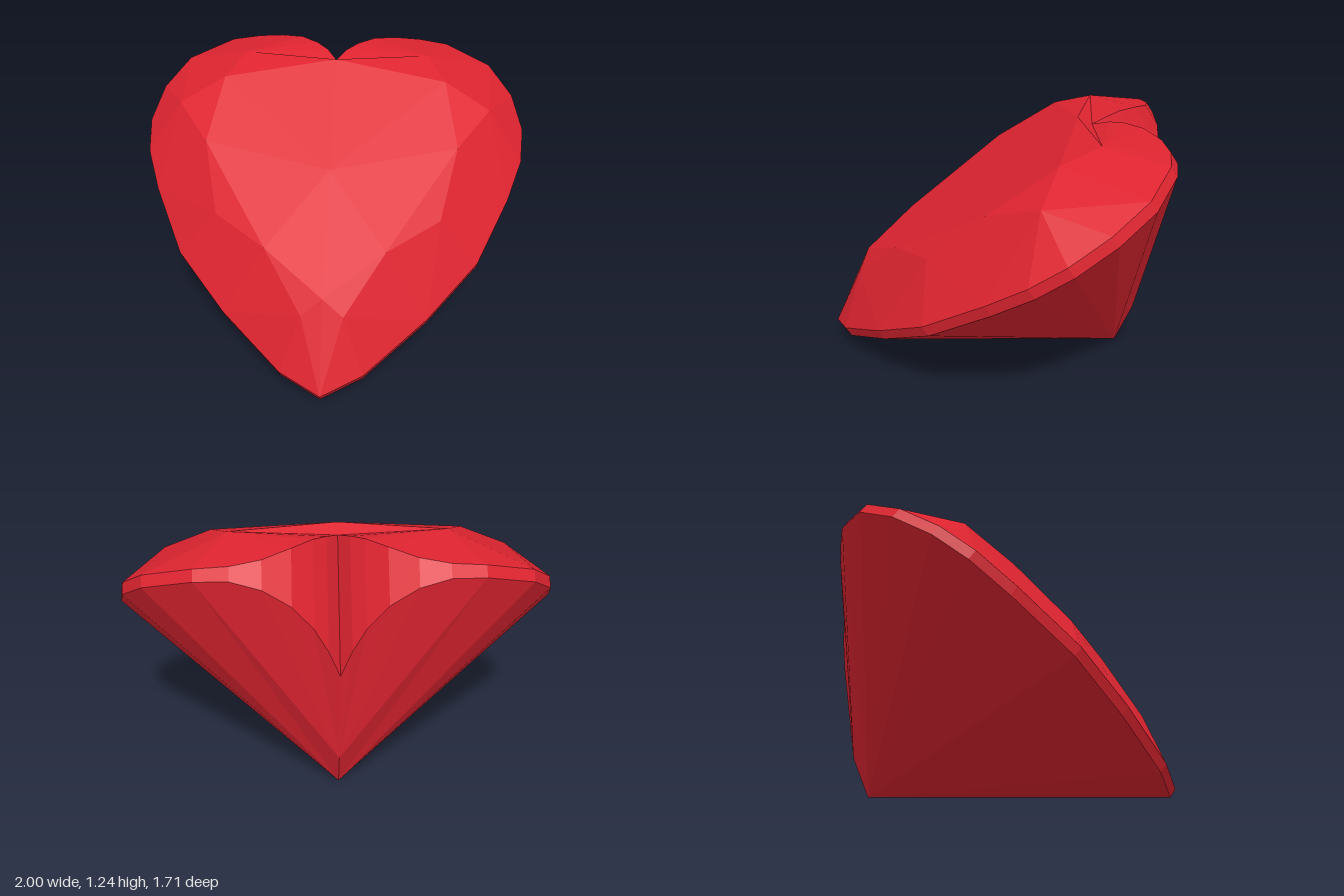
import * as THREE from 'three';

// Gem frame: x sideways, y through the cut, z towards the tip of the heart.
const at = (x, z, y) => [x, y, z];

// Half of the heart outline from tip to notch: x, z, upper edge, lower edge
const outline = [
  [0, 0.664, 0.544, 0.49], [0.2, 0.555, 0.544, 0.49], [0.5, 0.27, 0.544, 0.49],
  [0.75, -0.03, 0.544, 0.49], [0.91, -0.38, 0.544, 0.49], [0.985, -0.6, 0.544, 0.49],
  [1, -0.79, 0.544, 0.49], [0.95, -1.0, 0.544, 0.49], [0.83, -1.19, 0.544, 0.49],
  [0.6, -1.32, 0.544, 0.49], [0.45, -1.345, 0.548, 0.485], [0.32, -1.335, 0.575, 0.45],
  [0.2, -1.29, 0.63, 0.385], [0.11, -1.22, 0.68, 0.3], [0.05, -1.16, 0.705, 0.21],
  [0, -1.08, 0.727, 0.11],
];
const upper = outline.map(([x, z, top]) => at(x, z, top));
const lower = outline.map(([x, z, , bottom]) => at(x, z, bottom));

// Table corners, the star points between them, and the outline index below each corner
const table = [[0, 0.259], [0.29, 0.02], [0.63, -0.54], [0.57, -0.92], [0, -1.04]]
  .map(([x, z]) => at(x, z, 0.795));
const star = [[0.1, 0.33], [0.55, -0.17], [0.8, -0.79], [0.48, -1.11]]
  .map(([x, z]) => at(x, z, 0.742));
const foot = [0, 2, 4, 8, 15];

// Lowest point and the point where the notch crease meets the lobes
const culet = at(0, -0.553, -0.37);
const crease = at(0, -0.734, -0.253);
const lobeStart = 9;

// Mirrors the triangles of one half and makes a flat-shaded mesh
function facetMesh(name, triangles, material) {
  const positions = [];
  for (const [a, b, c] of triangles) {
    positions.push(...a, ...b, ...c);
    for (const [x, y, z] of [a, c, b]) positions.push(-x, y, z);
  }
  const geometry = new THREE.BufferGeometry();
  geometry.setAttribute('position', new THREE.Float32BufferAttribute(positions, 3));
  geometry.computeVertexNormals();
  const mesh = new THREE.Mesh(geometry, material);
  mesh.name = name;
  return mesh;
}

export function createModel() {
  const red = new THREE.MeshStandardMaterial({ color: 0xde2430 });
  red.name = 'ruby red';

  const tableFaces = [], crown = [], girdle = [], pavilion = [];

  // Flat table and the crown facets around it
  const centre = at(0, -0.4, 0.795);
  for (let i = 0; i < star.length; i++) {
    const t = table[i], s = star[i], next = table[i + 1];
    tableFaces.push([centre, t, next]);
    crown.push([t, s, next], [t, upper[foot[i]], s], [s, upper[foot[i + 1]], next]);
    for (let k = foot[i]; k < foot[i + 1]; k++) crown.push([s, upper[k], upper[k + 1]]);
  }

  // Girdle band, deepening into the notch wall, and the pavilion fan below
  for (let k = 0; k < outline.length - 1; k++) {
    girdle.push([upper[k], lower[k], lower[k + 1]], [upper[k], lower[k + 1], upper[k + 1]]);
    pavilion.push([k < lobeStart ? culet : crease, lower[k + 1], lower[k]]);
  }
  pavilion.push([culet, crease, lower[lobeStart]]);

  const gem = new THREE.Group();
  gem.name = 'heartGem';
  gem.add(
    facetMesh('table', tableFaces, red),
    facetMesh('crown', crown, red),
    facetMesh('girdle', girdle, red),
    facetMesh('pavilion', pavilion, red),
  );
  // Lean the gem forward so it rests on its keel
  gem.rotation.x = THREE.MathUtils.degToRad(34);

  const model = new THREE.Group();
  model.name = 'model';
  model.add(gem);
  return model;
}
